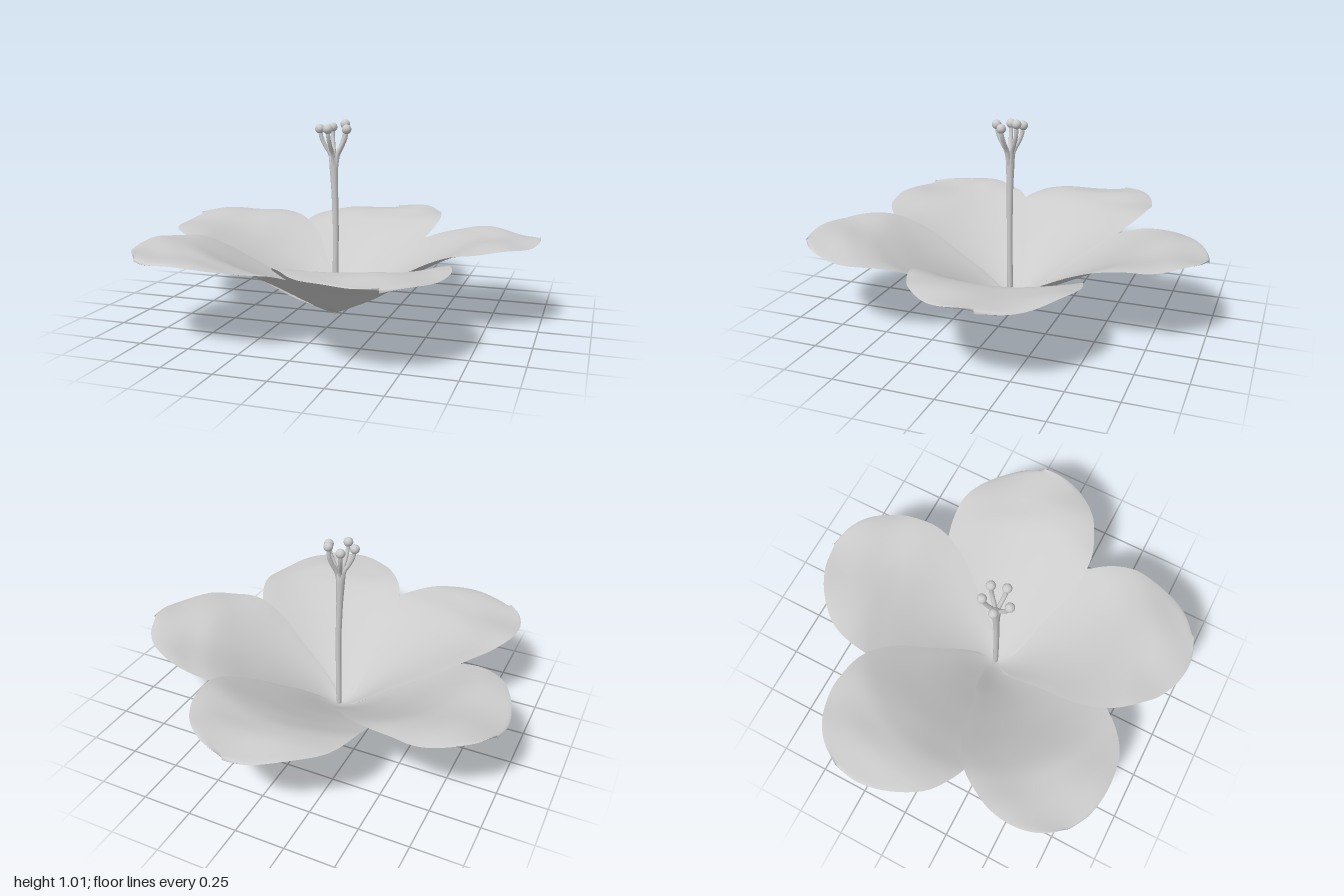
import * as THREE from 'three';

const CX = -0.03, CZ = 0.04; // flower axis
const { smoothstep, clamp, degToRad } = THREE.MathUtils;
const spline = (pts) => new THREE.SplineCurve(pts.map(([x, y]) => new THREE.Vector2(x, y)));

// petal half-width against distance along its midline
const outline = spline([
  [0.04, 0], [0.12, 0.07], [0.23, 0.2], [0.36, 0.39], [0.398, 0.58],
  [0.372, 0.75], [0.32, 0.85], [0.23, 0.945], [0.12, 1.01], [0, 1.035],
]);

// height of the funnel against radius
const funnel = [[0, 0.015], [0.05, 0.035], [0.17, 0.103], [0.35, 0.213], [0.57, 0.336],
  [0.7, 0.396], [0.85, 0.42], [1.2, 0.414]];
function funnelHeight(r) {
  let i = 1;
  while (i < funnel.length - 1 && r > funnel[i][0]) i++;
  const [r0, y0] = funnel[i - 1], [r1, y1] = funnel[i];
  return y0 + (y1 - y0) * (r - r0) / (r1 - r0);
}
const smoothHeight = (r) =>
  (funnelHeight(Math.max(0, r - 0.04)) + 2 * funnelHeight(r) + funnelHeight(r + 0.04)) / 4;

// one face of a petal; the upper (+1) and lower (-1) faces meet at the rim
function petalFace(angle, seed, face) {
  const geo = new THREE.PlaneGeometry(2, 1, 32, 48);
  const p = geo.attributes.position;
  const c = Math.cos(angle), n = Math.sin(angle);
  for (let i = 0; i < p.count; i++) {
    const s = p.getX(i);
    const t = clamp(p.getY(i) + 0.5, 0, 1);
    const { x: w, y: v } = outline.getPoint(t);
    // the lower half leans toward the tucked side, the tip the other way
    const lean = 0.03 * smoothstep(v, 0.7, 1.03)
      - 0.03 * smoothstep(v, 0.02, 0.25) * (1 - smoothstep(v, 0.3, 0.6));
    const u = s * w + lean;
    const r = Math.hypot(u, v);
    // one side lies over the next petal, the other tucks beneath
    const overlap = 0.022 * s * smoothstep(r, 0.03, 0.25) * (1 - 0.5 * smoothstep(r, 0.6, 0.95));
    // soft ripples growing toward the rim
    const ripple = smoothstep(r, 0.4, 0.95) * (
      0.007 * Math.sin(13 * u + 5 * v + seed * 1.9) +
      0.005 * Math.sin(17 * v - 9 * u + seed * 3.1));
    const half = 0.006 * face * (1 - s ** 8) * (1 - t ** 16);
    p.setXYZ(i, CX + c * v - n * u, smoothHeight(r) + overlap + ripple + half, CZ + n * v + c * u);
  }
  geo.computeVertexNormals();
  return geo;
}

export function createModel() {
  const flower = new THREE.Group();
  flower.name = 'flower';
  const grey = new THREE.MeshStandardMaterial({ color: 0xcccccc });
  const petalGrey = new THREE.MeshStandardMaterial({ color: 0xcccccc, side: THREE.DoubleSide });
  const add = (name, geo, mat, parent) => {
    const mesh = new THREE.Mesh(geo, mat);
    mesh.name = name;
    parent.add(mesh);
    return mesh;
  };

  // five overlapping petals
  [-87.5, -14, 60, 131, 200.5].forEach((deg, i) => {
    const petal = new THREE.Group();
    petal.name = 'petal';
    flower.add(petal);
    add('petalUpperFace', petalFace(degToRad(deg), i, 1), petalGrey, petal);
    add('petalLowerFace', petalFace(degToRad(deg), i, -1), petalGrey, petal);
  });

  // slender, slightly bowed column, swelling where it branches
  const pistil = new THREE.Group();
  pistil.name = 'pistil';
  flower.add(pistil);
  const profile = [[0, 0], [0.012, 0.02], [0.015, 0.1], [0.015, 0.45], [0.017, 0.65],
    [0.022, 0.78], [0.024, 0.83], [0, 0.86]];
  const column = new THREE.LatheGeometry(profile.map(([x, y]) => new THREE.Vector2(x, y)), 16);
  const pos = column.attributes.position;
  for (let i = 0; i < pos.count; i++) {
    pos.setX(i, pos.getX(i) + 0.008 * Math.sin(pos.getY(i) * 4.6));
  }
  column.computeVertexNormals();
  add('column', column, grey, pistil).position.set(CX, 0, CZ);

  // five curved branches, each tipped with a bead
  const beads = [[-0.06, 0.97, -0.02], [0.01, 0.988, -0.01], [0.04, 0.967, 0.06],
    [-0.04, 0.97, 0.115], [-0.1, 0.967, 0.06]];
  for (const [x, y, z] of beads) {
    const at = (k, h) => new THREE.Vector3(CX + (x - CX) * k, h, CZ + (z - CZ) * k);
    const path = new THREE.CatmullRomCurve3([
      at(0.12, 0.77), at(0.3, 0.84), at(0.65, 0.885), at(0.9, 0.925), at(1, y)]);
    add('branch', new THREE.TubeGeometry(path, 16, 0.011, 8), grey, pistil);
    add('bead', new THREE.SphereGeometry(0.024, 16, 12), grey, pistil).position.set(x, y, z);
  }
  return flower;
}
